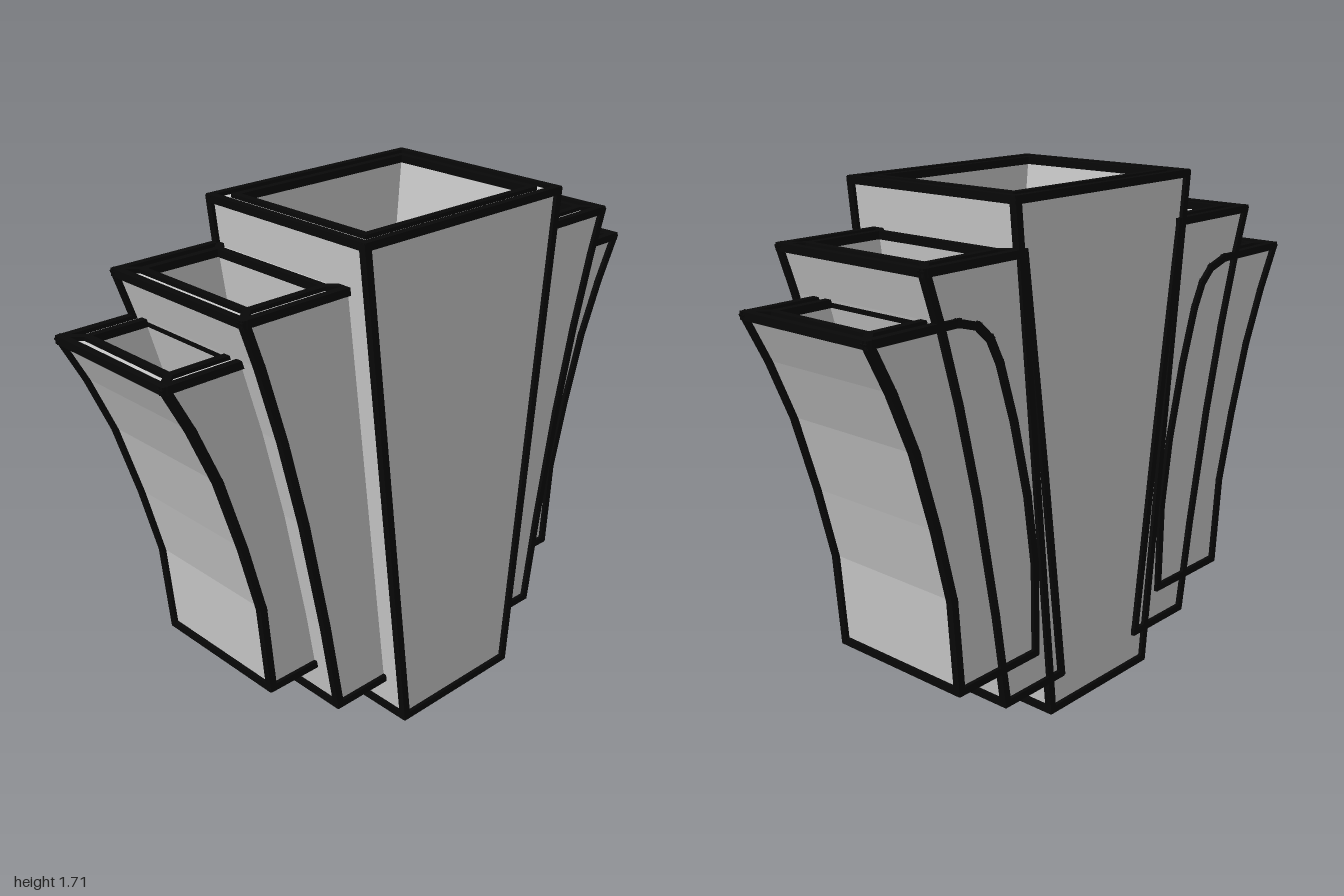
import * as THREE from 'three';
import { mergeGeometries } from 'three/addons/utils/BufferGeometryUtils.js';

const R = 0.0125;   // half thickness of the dark edge trim
const WALL = 0.055;
const grey = new THREE.MeshStandardMaterial({ color: 0xcccccc, flatShading: true, side: THREE.DoubleSide });
const black = new THREE.MeshStandardMaterial({ color: 0x080808, flatShading: true });

// x of a [x, y] profile (bottom to top) at height y
function xAt(profile, y) {
  for (let i = 1; i < profile.length; i++) {
    const [x0, y0] = profile[i - 1], [x1, y1] = profile[i];
    if (y <= y1 + 1e-6) return x0 + (x1 - x0) * (y - y0) / (y1 - y0);
  }
  return profile[profile.length - 1][0];
}

// Four corners of a horizontal section, counter-clockwise from above
function ring(y, xa, xb, za, zb) {
  return [[xb, zb], [xb, za], [xa, za], [xa, zb]].map(([x, z]) => new THREE.Vector3(x, y, z));
}

// Hollow body lofted through outer and inner sections
function shellGeometry(outer, inner, open) {
  const pos = [];
  const quad = (a, b, c, d) => [a, b, c, a, c, d].forEach(p => pos.push(p.x, p.y, p.z));
  const last = outer.length - 1;
  for (let i = 0; i < 4; i++) {
    const j = (i + 1) % 4;
    for (let k = 0; k < last; k++) {
      quad(outer[k][i], outer[k][j], outer[k + 1][j], outer[k + 1][i]);
      quad(inner[k][j], inner[k][i], inner[k + 1][i], inner[k + 1][j]);
    }
    quad(outer[last][i], outer[last][j], inner[last][j], inner[last][i]);
    if (open) quad(outer[0][j], outer[0][i], inner[0][i], inner[0][j]);
  }
  if (!open) {
    quad(...[...outer[0]].reverse());
    quad(...inner[0]);
  }
  const g = new THREE.BufferGeometry();
  g.setAttribute('position', new THREE.Float32BufferAttribute(pos, 3));
  g.computeVertexNormals();
  return g;
}

// Square bar from a to b, slightly extended so corners close
function bar(a, b) {
  const o = new THREE.Object3D();
  o.position.copy(a).add(b).multiplyScalar(0.5);
  o.lookAt(b);
  o.updateMatrix();
  return new THREE.BoxGeometry(2 * R, 2 * R, a.distanceTo(b) + 1.6 * R).applyMatrix4(o.matrix);
}

// One fluted channel: profiles of its inner and outer sides, depth range, body and trim
function channel(name, inSide, outSide, za, zb, { open = false, sign = 1 } = {}) {
  const ys = [...new Set([...inSide, ...outSide].map(p => p[1]))].sort((a, b) => a - b);
  const section = (y, lift, w) => {
    const xs = [sign * (xAt(inSide, y) + w), sign * (xAt(outSide, y) - w)].sort((a, b) => a - b);
    return ring(y + lift, xs[0], xs[1], za + w, zb - w);
  };
  const outer = ys.map(y => section(y, 0, 0));
  const inner = ys.map((y, k) => section(y, k === 0 && !open ? WALL : 0, WALL));
  const last = ys.length - 1;

  const bars = [];
  const loops = [outer[0], outer[last], inner[last]];
  if (open) loops.push(inner[0]);
  for (let i = 0; i < 4; i++) {
    loops.forEach(l => bars.push(bar(l[i], l[(i + 1) % 4])));
    for (let k = 0; k < last; k++) bars.push(bar(outer[k][i], outer[k + 1][i]));
    // mitre lines on the rim of the side channels
    if (!open) bars.push(bar(outer[last][i], inner[last][i]));
  }

  const group = new THREE.Group();
  group.name = name;
  const body = new THREE.Mesh(shellGeometry(outer, inner, open), grey);
  body.name = name + 'Body';
  const trim = new THREE.Mesh(mergeGeometries(bars), black);
  trim.name = name + 'EdgeTrim';
  group.add(body, trim);
  return group;
}

export function createModel() {
  const model = new THREE.Group();
  model.name = 'steppedFanSconce';
  const back = -0.345;

  // Tall central channel, open at both ends
  model.add(channel('centreChannel',
    [[-0.245, R], [-0.415, 1.7]], [[0.245, R], [0.415, 1.7]], back, 0.345, { open: true }));

  // Curved side channels, stepping down and back
  const middleIn = [[0.2, 0.13], [0.29, 0.85], [0.385, 1.545]];
  const middleOut = [[0.465, 0.13], [0.515, 0.45], [0.59, 0.85], [0.66, 1.15], [0.73, 1.4], [0.778, 1.545]];
  const outerIn = [[0.33, 0.255], [0.335, 0.56], [0.37, 0.8], [0.43, 1.05], [0.49, 1.24],
    [0.53, 1.32], [0.58, 1.365], [0.66, 1.388]];
  const outerOut = [[0.67, 0.255], [0.695, 0.56], [0.755, 0.8], [0.83, 1.05], [0.91, 1.24], [0.986, 1.388]];
  for (const [side, sign] of [['left', 1], ['right', -1]]) {
    model.add(channel(side + 'MiddleChannel', middleIn, middleOut, back, 0.255, { sign }));
    model.add(channel(side + 'OuterChannel', outerIn, outerOut, back, 0.165, { sign }));
  }
  return model;
}
